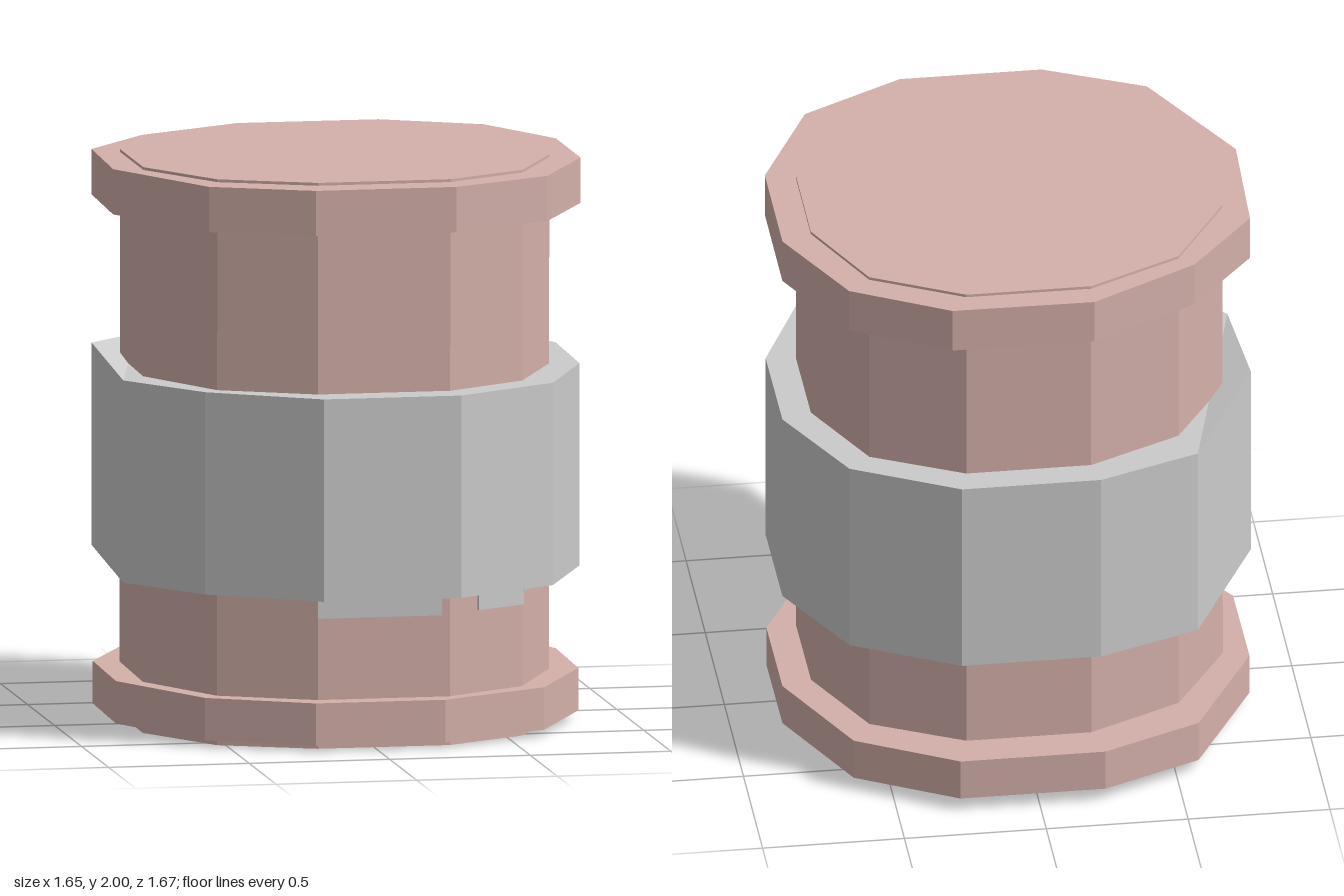
import * as THREE from 'three';

const rose = new THREE.MeshStandardMaterial({ color: 0xd4b0aa, flatShading: true });
const grey = new THREE.MeshStandardMaterial({ color: 0xcccccc, flatShading: true });

// Uneven twelve-sided prism: corners run front-left round to the back as [x, z];
// slope lifts the faces towards the back, lean shifts the upper rim in z.
function prism(name, corners, y0, y1, material, { slope = 0, lean = 0, lift = {} } = {}) {
  const shape = new THREE.Shape(corners.map(([x, z]) => new THREE.Vector2(x, -z)));
  const geo = new THREE.ExtrudeGeometry(shape, { depth: y1 - y0, bevelEnabled: false });
  geo.rotateX(-Math.PI / 2);
  const p = geo.attributes.position;
  for (let i = 0; i < p.count; i++) {
    const x = p.getX(i), z = p.getZ(i), y = p.getY(i);
    const corner = corners.findIndex(c => Math.hypot(c[0] - x, c[1] - z) < 1e-4);
    p.setY(i, y0 + y - slope * z + (lift[corner] ?? 0));
    if (y > 1e-4) p.setZ(i, z + lean);
  }
  geo.computeVertexNormals();
  const mesh = new THREE.Mesh(geo, material);
  mesh.name = name;
  return mesh;
}

const bodyRim = [[-0.2, 0.71], [0.27, 0.71], [0.56, 0.54], [0.72, 0.2], [0.72, -0.19], [0.56, -0.53],
  [0.24, -0.695], [-0.2, -0.695], [-0.53, -0.53], [-0.73, -0.2], [-0.73, 0.23], [-0.53, 0.56]];
const capRim = [[-0.23, 0.835], [0.27, 0.835], [0.63, 0.64], [0.825, 0.24], [0.825, -0.22], [0.64, -0.59],
  [0.3, -0.775], [-0.2, -0.78], [-0.58, -0.57], [-0.815, -0.28], [-0.83, 0.2], [-0.58, 0.67]];
const baseRim = [[-0.22, 0.78], [0.24, 0.78], [0.63, 0.58], [0.825, 0.2], [0.825, -0.22], [0.63, -0.64],
  [0.28, -0.838], [-0.23, -0.838], [-0.58, -0.68], [-0.82, -0.23], [-0.82, 0.2], [-0.58, 0.6]];
const bandRim = [[-0.2, 0.82], [0.29, 0.82], [0.655, 0.61], [0.825, 0.22], [0.825, -0.22], [0.64, -0.6],
  [0.27, -0.8], [-0.22, -0.8], [-0.58, -0.66], [-0.83, -0.2], [-0.815, 0.31], [-0.58, 0.6]];

export function createModel() {
  const group = new THREE.Group();
  group.name = 'drum';
  group.add(
    prism('body', bodyRim, 0, 2, rose, { lean: 0.008 }),
    prism('topCap', capRim, 1.83, 1.99, rose),
    prism('base', baseRim, 0.035, 0.185, rose, { slope: 0.018 }),
    // the band's right rear corner sits a little high
    prism('band', bandRim, 0.55, 1.265, grey, { slope: 0.018, lift: { 9: 0.05 } }),
  );

  // Edges of the inner liner showing under the band
  const liner = (a, b, y0) => {
    const dx = b[0] - a[0], dz = b[1] - a[1];
    const mesh = new THREE.Mesh(new THREE.BoxGeometry(Math.hypot(dx, dz), 0.75 - y0, 0.016), grey);
    mesh.position.set((a[0] + b[0]) / 2, (0.75 + y0) / 2, (a[1] + b[1]) / 2);
    mesh.rotation.y = -Math.atan2(dz, dx);
    mesh.name = 'linerPanel';
    group.add(mesh);
  };
  liner([-0.2, 0.71], [0.24, 0.71], 0.46);
  liner([0.38, 0.648], [0.56, 0.545], 0.465);
  liner([0.56, 0.54], [0.72, 0.2], 0.51);
  liner([0.72, 0.2], [0.72, -0.18], 0.515);
  return group;
}
